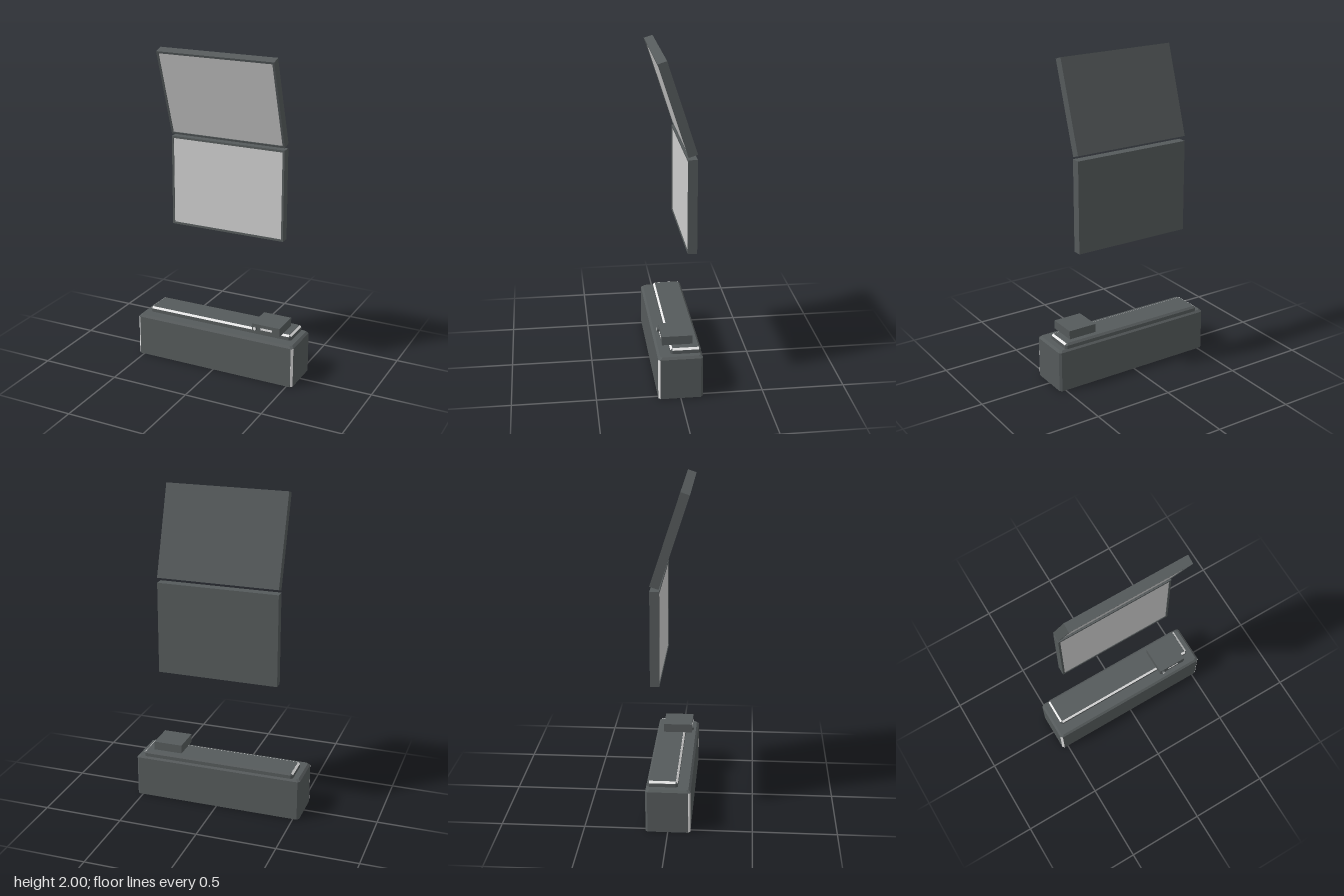
import * as THREE from 'three';
import { ConvexGeometry } from 'three/addons/geometries/ConvexGeometry.js';

const mat = (name, color) => Object.assign(new THREE.MeshStandardMaterial({ color }), { name });

export function createModel() {
  const model = new THREE.Group();
  const casing = mat('charcoal casing', 0x555a5b);
  const screen = mat('grey screen', 0xcdcdcd);
  const trim = mat('light trim', 0xf0f0f0);

  function add(parent, name, geometry, material, x = 0, y = 0, z = 0) {
    const mesh = new THREE.Mesh(geometry, material);
    mesh.name = name;
    mesh.position.set(x, y, z);
    parent.add(mesh);
    return mesh;
  }
  const box = (w, h, d) => new THREE.BoxGeometry(w, h, d);

  // Box with chamfered vertical and top edges, standing on y = 0
  function chamferedBox(w, h, d, c) {
    const points = [];
    for (const [y, inset] of [[0, 0], [h - c, 0], [h, c]]) {
      const a = w / 2 - inset, b = d / 2 - inset;
      for (const sx of [-1, 1]) for (const sz of [-1, 1]) {
        points.push(new THREE.Vector3(sx * a, y, sz * (b - c)));
        points.push(new THREE.Vector3(sx * (a - c), y, sz * b));
      }
    }
    return new ConvexGeometry(points);
  }

  // Base with light front corner strips
  const base = new THREE.Group();
  base.name = 'base';
  model.add(base);
  const W = 1.074, H = 0.27, D = 0.267, C = 0.013;
  add(base, 'baseBody', chamferedBox(W, H, D, C), casing);
  for (const s of [-1, 1]) {
    const strip = add(base, 'cornerStrip', box(C * 1.35, H - C - 0.004, 0.002), trim,
      s * (W - C) / 2, (H - C) / 2, (D - C) / 2);
    strip.rotation.y = s * Math.PI / 4;
  }

  // Raised deck with light chamfer strips on the front and both ends
  const deck = new THREE.Group();
  deck.name = 'deck';
  deck.position.set(0, H, -0.035);
  model.add(deck);
  const dw = 0.98, dh = 0.034, dd = 0.182, dc = 0.012;
  add(deck, 'deckBody', chamferedBox(dw, dh, dd, dc), casing);
  const front = add(deck, 'frontStrip', box(dw - 2 * dc, 0.002, dc * 1.35), trim,
    0, dh - dc / 2, (dd - dc) / 2);
  front.rotation.x = Math.PI / 4;
  for (const s of [-1, 1]) {
    const end = add(deck, 'endStrip', box(dc * 1.35, 0.002, dd - 2 * dc), trim,
      s * (dw - dc) / 2, dh - dc / 2, 0);
    end.rotation.z = -s * Math.PI / 4;
  }

  // Small control unit with a knob and display
  const unit = new THREE.Group();
  unit.name = 'controlUnit';
  unit.position.set(0.343, 0.331, 0.01);
  model.add(unit);
  add(unit, 'unitBody', box(0.184, 0.054, 0.182), casing);
  add(unit, 'display', box(0.075, 0.013, 0.004), trim, 0.005, 0, 0.091);
  const knob = add(unit, 'knob', new THREE.CylinderGeometry(0.013, 0.013, 0.012, 20), casing, -0.07, 0, 0.096);
  knob.rotation.x = Math.PI / 2;
  const cap = add(unit, 'knobCap', new THREE.CylinderGeometry(0.01, 0.01, 0.002, 20), trim, -0.07, 0, 0.1025);
  cap.rotation.x = Math.PI / 2;

  // Screen panel: back box, raised rim and recessed screen
  function panel(name, w, h, y, z, tilt) {
    const group = new THREE.Group();
    group.name = name;
    group.position.set(0, y, z);
    group.rotation.x = tilt;
    model.add(group);
    const t = 0.056, lip = 0.006, rim = 0.013;
    add(group, 'panelBody', box(w, h, t - lip), casing, 0, 0, -lip / 2);
    const rect = (Type, a, b) => new Type([[-a, -b], [a, -b], [a, b], [-a, b]].map(p => new THREE.Vector2(...p)));
    const shape = rect(THREE.Shape, w / 2, h / 2);
    shape.holes.push(rect(THREE.Path, w / 2 - rim, h / 2 - rim));
    add(group, 'panelRim', new THREE.ExtrudeGeometry(shape, { depth: lip, bevelEnabled: false }),
      casing, 0, 0, t / 2 - lip);
    add(group, 'screen', box(w - 2 * rim, h - 2 * rim, 0.002), screen, 0, 0, t / 2 - lip + 0.001);
  }
  panel('lowerPanel', 0.756, 0.572, 1.143, -0.086, 0);
  panel('upperPanel', 0.756, 0.567, 1.721, 0, 0.314);

  return model;
}
